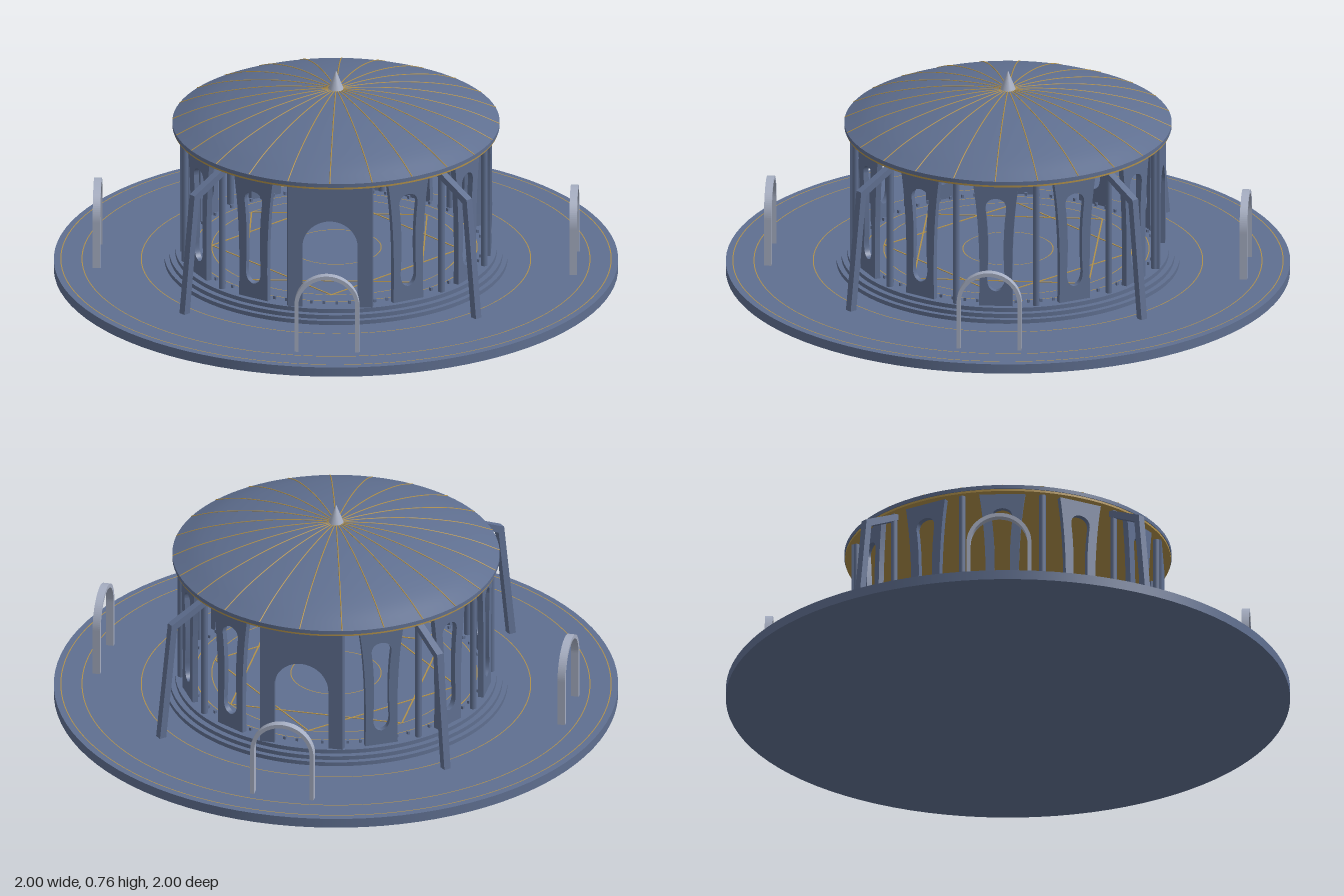
import * as THREE from 'three';

const slate = new THREE.MeshStandardMaterial({ color: 0x5f6f90 });
slate.name = 'slate blue';
const pale = new THREE.MeshStandardMaterial({ color: 0xa6aec2 });
pale.name = 'pale grey';
const gold = new THREE.MeshStandardMaterial({ color: 0xb0904a });
gold.name = 'gold';

function add(parent, name, geometry, material, x = 0, y = 0, z = 0) {
  const mesh = new THREE.Mesh(geometry, material);
  mesh.name = name;
  mesh.position.set(x, y, z);
  parent.add(mesh);
  return mesh;
}

// Disc with vertical sides standing on y0
function disc(parent, name, r, y0, h, material) {
  return add(parent, name, new THREE.CylinderGeometry(r, r, h, 96), material, 0, y0 + h / 2, 0);
}

// Group turned about the vertical axis; its +z points outward
function spoke(parent, name, degrees) {
  const g = new THREE.Group();
  g.name = name;
  g.rotation.y = THREE.MathUtils.degToRad(degrees);
  parent.add(g);
  return g;
}

// Extrusion centred on its own thickness
function slab(shape, depth) {
  return new THREE.ExtrudeGeometry(shape, { depth, bevelEnabled: false, curveSegments: 24 })
    .translate(0, 0, -depth / 2);
}

// Thin flat ring lying on a floor
function inlayRing(parent, name, r, y) {
  add(parent, name, new THREE.RingGeometry(r - 0.0018, r + 0.0018, 128).rotateX(-Math.PI / 2), gold, 0, y, 0);
}

// Vase-shaped panel with a tall flared opening
function lancetShape() {
  const s = new THREE.Shape();
  s.moveTo(-0.06, 0.08);
  s.lineTo(0.06, 0.08);
  s.quadraticCurveTo(0.052, 0.36, 0.082, 0.545);
  s.lineTo(-0.082, 0.545);
  s.quadraticCurveTo(-0.052, 0.36, -0.06, 0.08);
  const h = new THREE.Path();
  h.moveTo(0, 0.135);
  h.quadraticCurveTo(-0.033, 0.14, -0.031, 0.19);
  h.quadraticCurveTo(-0.022, 0.33, -0.037, 0.45);
  h.quadraticCurveTo(-0.036, 0.485, 0, 0.487);
  h.quadraticCurveTo(0.036, 0.485, 0.037, 0.45);
  h.quadraticCurveTo(0.022, 0.33, 0.031, 0.19);
  h.quadraticCurveTo(0.033, 0.14, 0, 0.135);
  s.holes.push(h);
  return s;
}

// Arch of given half width, straight up to the springing then round
function archPath(path, w, y0, spring) {
  path.moveTo(w, y0);
  path.lineTo(w, spring);
  path.absarc(0, spring, w, 0, Math.PI, false);
  path.lineTo(-w, y0);
  return path;
}

export function createModel() {
  const model = new THREE.Group();
  model.name = 'pavilion';

  // Plaza and steps
  disc(model, 'plaza', 1, 0, 0.035, slate);
  [0.69, 0.9, 0.975].forEach((r) => inlayRing(model, 'plazaInlay', r, 0.0365));
  [0.608, 0.59, 0.57].forEach((r, i) => disc(model, 'step', r, 0.035 + i * 0.015, 0.015, slate));

  // Floor inlay: rings and an eight-pointed star
  [0.16, 0.44, 0.5].forEach((r) => inlayRing(model, 'floorInlay', r, 0.0815));
  for (let i = 0; i < 8; i++) {
    const g = spoke(model, 'floorStar', i * 45);
    const d = 0.44 * Math.cos(Math.PI / 4);
    add(g, 'starLine', new THREE.BoxGeometry(2 * d, 0.002, 0.005), gold, 0, 0.081, d);
  }

  // Small studs along the floor edge
  const stud = new THREE.BoxGeometry(0.009, 0.012, 0.009);
  for (let i = 0; i < 72; i++) add(spoke(model, 'floorStud', i * 5 + 2.5), 'stud', stud, slate, 0, 0.085, 0.52);

  // Door panels front and back, lancet panels between
  const door = new THREE.Shape();
  door.moveTo(-0.15, 0.08);
  archPath({
    moveTo: (x, y) => door.lineTo(-x, y),
    lineTo: (x, y) => door.lineTo(-x, y),
    absarc: (x, y, r) => door.absarc(x, y, r, Math.PI, 0, true),
  }, 0.098, 0.08, 0.31);
  door.lineTo(0.15, 0.08);
  door.lineTo(0.15, 0.545);
  door.lineTo(-0.15, 0.545);
  const doorGeo = slab(door, 0.02);
  const lancetGeo = slab(lancetShape(), 0.02);
  const post = new THREE.CylinderGeometry(0.012, 0.012, 0.465, 12);
  for (let i = 0; i < 12; i++) {
    const isDoor = i % 6 === 0;
    const bay = spoke(model, 'wallBay', i * 30);
    add(bay, isDoor ? 'doorPanel' : 'lancetPanel', isDoor ? doorGeo : lancetGeo, slate, 0, 0, 0.54);
    add(spoke(model, 'wallPost', i * 30 + 15), 'post', post, slate, 0, 0.3125, 0.55);
  }

  // Bent buttresses on the diagonals, drawn as radius against height
  const brace = new THREE.Shape([
    [0.54, 0.522], [0.672, 0.458], [0.718, 0.035], [0.744, 0.035], [0.695, 0.476], [0.54, 0.547],
  ].map(([r, y]) => new THREE.Vector2(r, y)));
  const braceGeo = slab(brace, 0.026).rotateY(-Math.PI / 2);
  for (let i = 0; i < 4; i++) add(spoke(model, 'buttress', 45 + i * 90), 'brace', braceGeo, slate);

  // Free-standing hoops on the four axes
  const hoop = archPath(new THREE.Shape(), 0.115, 0.035, 0.21);
  hoop.lineTo(-0.101, 0.035);
  hoop.lineTo(-0.101, 0.21);
  hoop.absarc(0, 0.21, 0.101, Math.PI, 0, true);
  hoop.lineTo(0.101, 0.035);
  const hoopGeo = slab(hoop, 0.027);
  for (let i = 0; i < 4; i++) add(spoke(model, 'gateway', i * 90), 'hoop', hoopGeo, pale, 0, 0, 0.845);

  // Roof rim, shallow dome, ribs and spire
  disc(model, 'roofTrim', 0.577, 0.542, 0.009, gold);
  disc(model, 'roofRim', 0.58, 0.55, 0.014, slate);
  const curve = new THREE.CatmullRomCurve3([
    [0.58, 0.564], [0.49, 0.603], [0.38, 0.637], [0.25, 0.666], [0.12, 0.683], [0.001, 0.69],
  ].map(([r, y]) => new THREE.Vector3(0, y, r)));
  const profile = curve.getPoints(24).map((p) => new THREE.Vector2(Math.max(p.z, 0.0005), p.y));
  add(model, 'roofDome', new THREE.LatheGeometry(profile, 96), slate);
  const rib = new THREE.TubeGeometry(curve, 24, 0.0022, 6);
  for (let i = 0; i < 24; i++) add(spoke(model, 'roofRib', i * 15), 'rib', rib, gold);
  add(model, 'spire', new THREE.ConeGeometry(0.03, 0.078, 24), pale, 0, 0.721, 0);

  return model;
}
